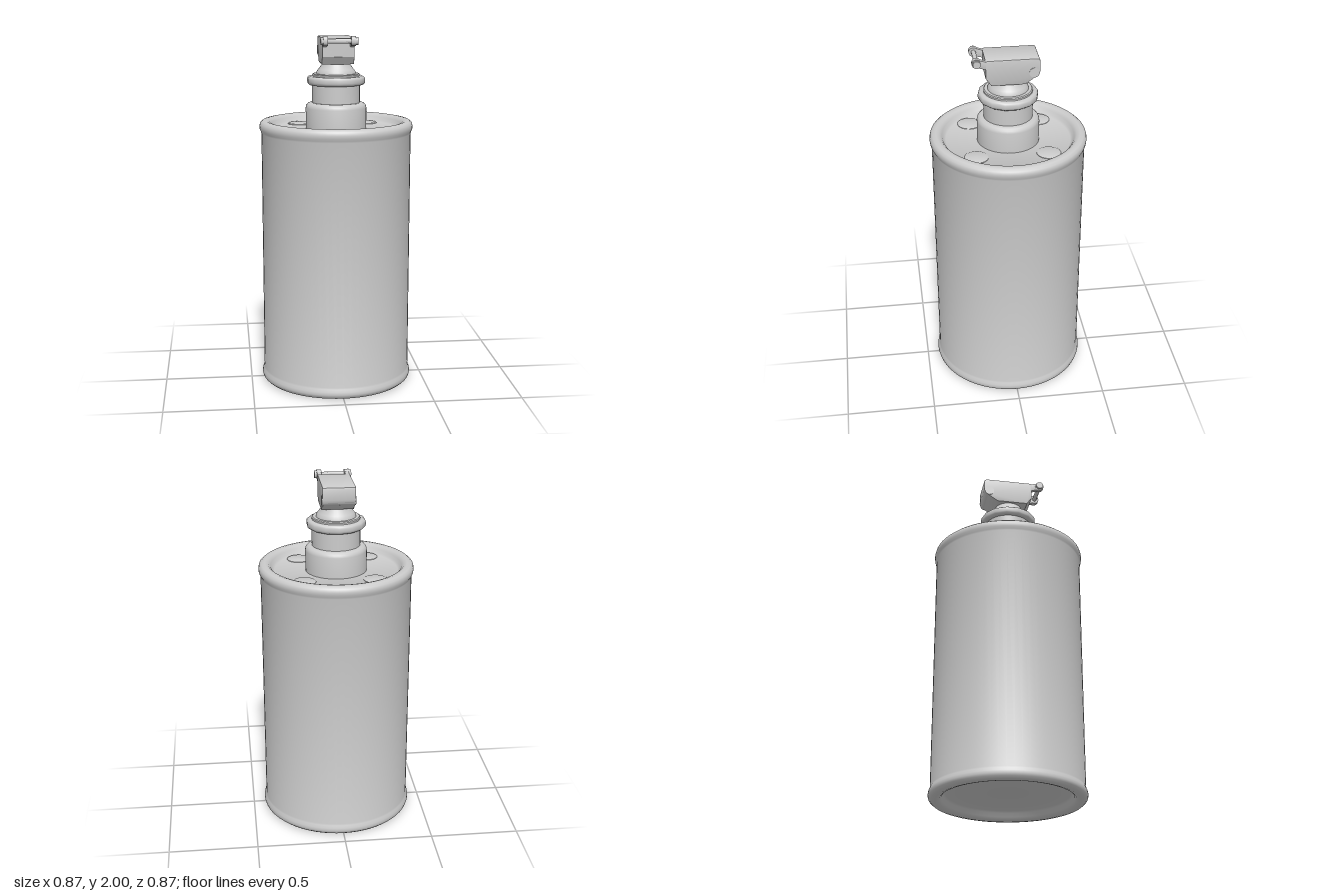
import * as THREE from 'three';
import { toCreasedNormals } from 'three/addons/utils/BufferGeometryUtils.js';

const material = new THREE.MeshStandardMaterial({ color: 0xcccccc });

function add(parent, name, geometry, x = 0, y = 0, z = 0) {
  const mesh = new THREE.Mesh(geometry, material);
  mesh.name = name;
  mesh.position.set(x, y, z);
  parent.add(mesh);
  return mesh;
}

// Turned part from [radius, height] pairs, listed bottom to top
function turned(profile, segments = 40, crease = 0.75) {
  const points = profile.map(([r, y]) => new THREE.Vector2(r, y));
  return toCreasedNormals(new THREE.LatheGeometry(points, segments), crease);
}

// Side profile given as [z, y] pairs, extruded across x and centred on x = 0
function sidePlate(profile, width, bevel) {
  const shape = new THREE.Shape(profile.map(([z, y]) => new THREE.Vector2(-z, y)));
  const geometry = new THREE.ExtrudeGeometry(shape, {
    depth: width - 2 * bevel, bevelEnabled: true, bevelThickness: bevel,
    bevelSize: bevel, bevelOffset: -bevel, bevelSegments: 2,
  });
  geometry.translate(0, 0, bevel - width / 2);
  geometry.rotateY(Math.PI / 2);
  return toCreasedNormals(geometry, 0.6);
}

// Cylinder lying along x
function crossPin(radius, length, segments = 16) {
  const geometry = new THREE.CylinderGeometry(radius, radius, length, segments);
  return toCreasedNormals(geometry.rotateZ(Math.PI / 2), 0.75);
}

export function createModel() {
  const model = new THREE.Group();
  model.name = 'canister';

  // Can with rolled rims and recessed ends
  add(model, 'canBody', turned([
    [0, 0.05], [0.34, 0.05], [0.352, 0.04], [0.36, 0.02], [0.375, 0.006],
    [0.395, 0], [0.418, 0.004], [0.431, 0.016], [0.435, 0.03], [0.433, 0.045],
    [0.427, 0.06], [0.424, 0.07],
    [0.424, 1.45], [0.427, 1.46], [0.433, 1.473], [0.435, 1.49], [0.431, 1.507],
    [0.418, 1.518], [0.398, 1.522], [0.38, 1.517], [0.366, 1.502], [0.357, 1.484],
    [0.345, 1.475], [0, 1.475],
  ], 64));

  // Shallow round bosses on the lid
  for (const x of [-0.195, 0.195]) {
    for (const z of [-0.197, 0.197]) {
      add(model, 'lidBoss', turned([[0.066, -0.01], [0.066, 0.003], [0.06, 0.006], [0, 0.006]], 20), x, 1.475, z);
    }
  }

  // Neck: wide collar, narrower tube, faceted flange and tapered seat
  const neck = new THREE.Group();
  neck.name = 'neck';
  model.add(neck);
  add(neck, 'collar', turned([
    [0.172, 1.465], [0.172, 1.592], [0.169, 1.606], [0.16, 1.616], [0.148, 1.621], [0.13, 1.622],
  ]));
  add(neck, 'neckTube', turned([[0.135, 1.6], [0.135, 1.735]]));
  add(neck, 'flange', turned([
    [0.12, 1.722], [0.153, 1.722], [0.162, 1.729], [0.165, 1.738], [0.165, 1.755],
    [0.162, 1.764], [0.153, 1.77], [0, 1.77],
  ], 14));
  add(neck, 'sealRing', turned([[0.134, 1.765], [0.134, 1.779], [0.129, 1.784], [0, 1.784]], 32));
  add(neck, 'taperedSeat', turned([
    [0.112, 1.78], [0.11, 1.795], [0.1, 1.808], [0.08, 1.835], [0.075, 1.85], [0, 1.85],
  ], 32));

  // Head block
  const head = new THREE.Group();
  head.name = 'head';
  model.add(head);
  add(head, 'headBlock', sidePlate([
    [0.13, 1.984], [0.13, 1.885], [0.1, 1.842], [-0.08, 1.842], [-0.145, 1.886],
    [-0.158, 1.9], [-0.162, 1.915], [-0.162, 1.972], [-0.158, 1.982], [-0.148, 1.987], [0.12, 1.987],
  ], 0.18, 0.004));
  add(head, 'hingePin', crossPin(0.028, 0.186), 0, 1.908, -0.13);

  // Forward ears carrying the cross pin
  for (const side of [-1, 1]) {
    add(head, 'pinArm', sidePlate([
      [0.115, 1.98], [0.115, 1.935], [0.175, 1.95], [0.185, 1.998],
    ], 0.024, 0.003), side * 0.077);
    add(head, 'pinEar', crossPin(0.026, 0.026), side * 0.077, 1.974, 0.178);
    add(head, 'pinCap', crossPin(0.021, 0.016), side * 0.095, 1.974, 0.178);
  }
  add(head, 'crossPin', crossPin(0.013, 0.19, 12), 0, 1.974, 0.178);

  return model;
}
